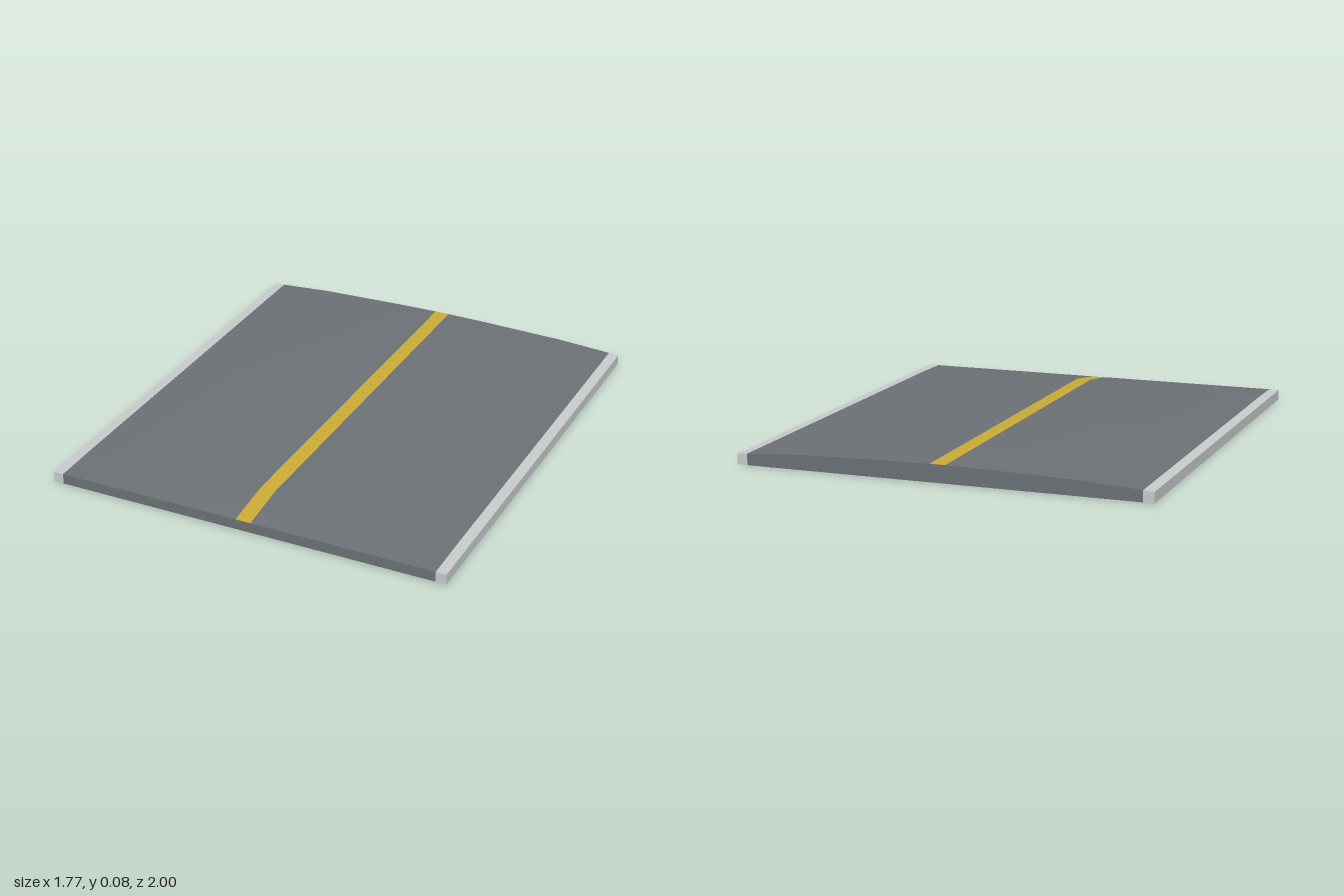
import * as THREE from 'three';
import { toCreasedNormals } from 'three/addons/utils/BufferGeometryUtils.js';

const asphalt = new THREE.MeshStandardMaterial({ color: 0x6a7074 });
const kerb = new THREE.MeshStandardMaterial({ color: 0xc6caca });
const yellow = new THREE.MeshStandardMaterial({ color: 0xcaa935 });
asphalt.name = 'asphalt grey';
kerb.name = 'kerb light grey';
yellow.name = 'line yellow';

const EDGE = 0.885, BASE = 0.045, BACK = -1, RAMP = 0.78, FRONT = 1;
// half cross-section of the cambered surface: [distance from centre, height]
const CAMBER = [[0, 0.075], [0.2, 0.073], [0.6, 0.063], [0.84, 0.048], [EDGE, BASE]];

function height(x, z) {
  const d = Math.abs(x);
  let i = 1;
  while (i < CAMBER.length - 1 && d > CAMBER[i][0]) i++;
  const [x0, y0] = CAMBER[i - 1], [x1, y1] = CAMBER[i];
  const y = y0 + (y1 - y0) * (d - x0) / (x1 - x0);
  // the camber flattens out towards the front edge
  const t = z > RAMP ? (FRONT - z) / (FRONT - RAMP) : 1;
  return BASE + (y - BASE) * t;
}

// mesh from a list of quads, corners counter-clockwise seen from outside
function quadMesh(name, quads, material) {
  const pos = quads.flatMap(([a, b, c, d]) => [a, b, c, a, c, d].flat());
  const geo = new THREE.BufferGeometry();
  geo.setAttribute('position', new THREE.Float32BufferAttribute(pos, 3));
  const mesh = new THREE.Mesh(toCreasedNormals(geo, 0.5), material);
  mesh.name = name;
  return mesh;
}

const top = (x, z) => [x, height(x, z), z];
const foot = (x, z) => [x, 0, z];

function surface(xs) {
  const quads = [], zs = [BACK, RAMP, FRONT];
  for (let i = 0; i < xs.length - 1; i++)
    for (let j = 0; j < zs.length - 1; j++) {
      const [a, b, c, d] = [xs[i], xs[i + 1], zs[j], zs[j + 1]];
      quads.push([top(a, d), top(b, d), top(b, c), top(a, c)]);
    }
  return quads;
}

function endWalls(xs) {
  const quads = [];
  for (let i = 0; i < xs.length - 1; i++) {
    const a = xs[i], b = xs[i + 1];
    quads.push([foot(a, FRONT), foot(b, FRONT), top(b, FRONT), top(a, FRONT)]);
    quads.push([foot(b, BACK), foot(a, BACK), top(a, BACK), top(b, BACK)]);
  }
  return quads;
}

export function createModel() {
  const road = new THREE.Group();
  road.name = 'roadSection';

  // lanes either side of the centre line
  road.add(quadMesh('rightLane', surface([-0.84, -0.6, -0.2, -0.03]), asphalt));
  road.add(quadMesh('leftLane', surface([0.037, 0.2, 0.6, 0.84]), asphalt));
  road.add(quadMesh('centreLine', surface([-0.03, 0, 0.037]), yellow));

  // cut ends and underside of the roadbed
  road.add(quadMesh('roadEnds', endWalls([-0.84, -0.6, -0.2, 0, 0.2, 0.6, 0.84]), asphalt));
  road.add(quadMesh('underside',
    [[foot(-EDGE, BACK), foot(EDGE, BACK), foot(EDGE, FRONT), foot(-EDGE, FRONT)]], asphalt));

  // pale kerbs along both sides
  for (const s of [-1, 1]) {
    const xs = s < 0 ? [-EDGE, -0.84] : [0.84, EDGE];
    const x = s * EDGE, near = s * FRONT, far = -near;
    const side = [foot(x, near), foot(x, far), [x, BASE, far], [x, BASE, near]];
    road.add(quadMesh(s < 0 ? 'rightKerb' : 'leftKerb', [...surface(xs), ...endWalls(xs), side], kerb));
  }
  return road;
}
